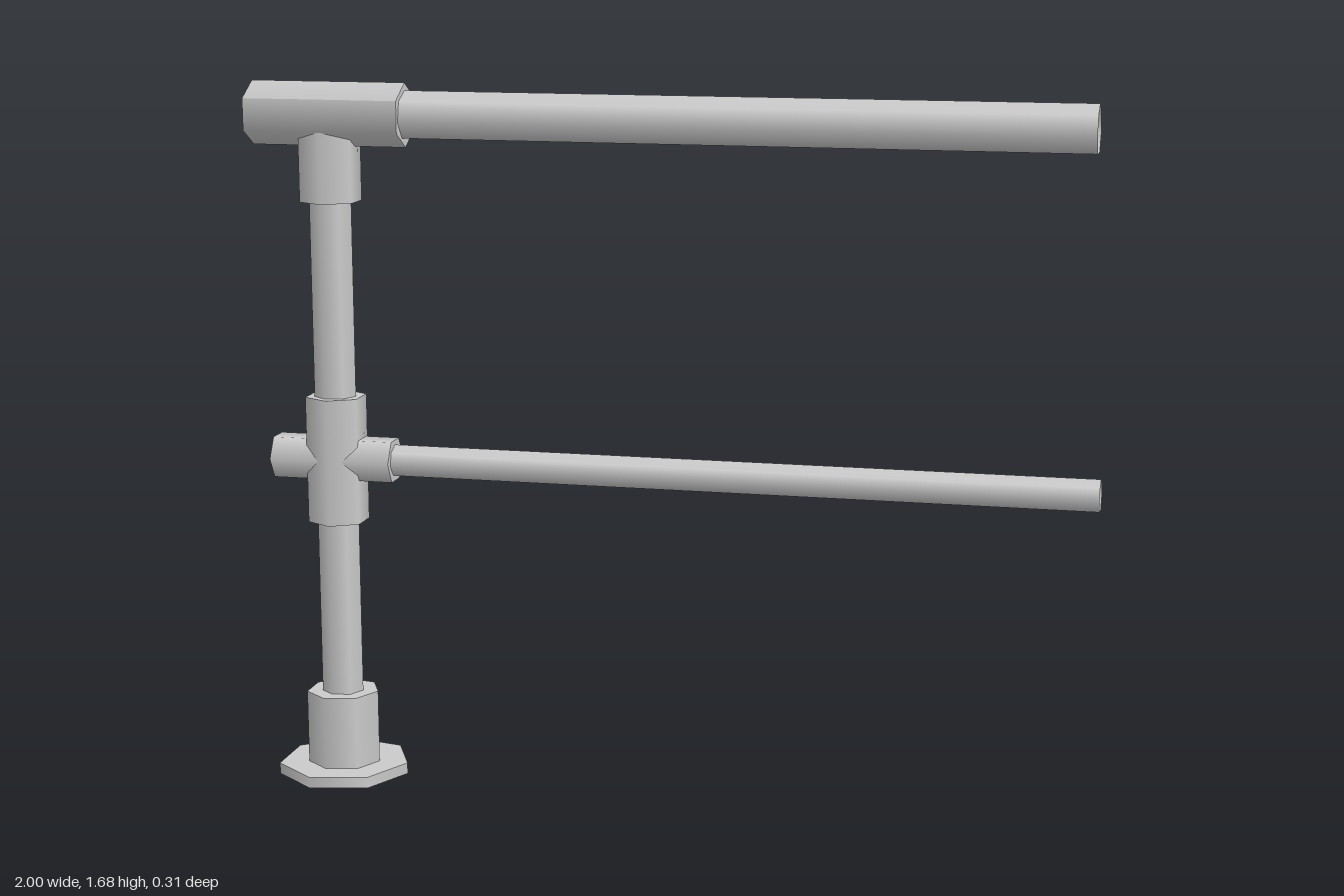
import * as THREE from 'three';

const POST_X = -0.8125;
const TEE_Y = 1.605;
const CROSS_Y = 0.784;

export function createModel() {
  const group = new THREE.Group();
  const material = new THREE.MeshStandardMaterial({ color: 0xcccccc, side: THREE.DoubleSide });

  function add(name, geometry) {
    const mesh = new THREE.Mesh(geometry, material);
    mesh.name = name;
    group.add(mesh);
    return mesh;
  }

  // Upright prism from y0 to y1; start turns its first corner from +z towards +x
  function upright(name, r, sides, start, y0, y1, open = false) {
    const g = new THREE.CylinderGeometry(r, r, y1 - y0, sides, 1, open, start);
    add(name, g.translate(POST_X, (y0 + y1) / 2, 0));
  }

  // Prism lying along x from x0 to x1 at height y
  function lying(name, r, sides, start, x0, x1, y, open = false) {
    const g = new THREE.CylinderGeometry(r, r, x1 - x0, sides, 1, open, start);
    add(name, g.rotateZ(-Math.PI / 2).translate((x0 + x1) / 2, y, 0));
  }

  const Q = Math.PI / 2;

  // Foot and post, seven-sided
  upright('baseFlange', 0.16, 7, Q, 0, 0.027);
  upright('baseCollar', 0.0885, 7, Q, 0.02, 0.205);
  upright('post', 0.0505, 7, Q, 0.1, 1.57, true);

  // Cross fitting, six-sided
  upright('crossSleeveUpright', 0.0735, 6, 0, 0.63, 0.935);
  lying('crossSleeveLying', 0.0565, 6, 0, -0.963, -0.667, CROSS_Y);

  // Tee fitting at the top
  upright('teeSleeveUpright', 0.0735, 6, 0, 1.4, 1.567);
  lying('teeSleeveLying', 0.075, 6, Q, -1, -0.625, TEE_Y);

  // Shallow swelling on each side of the tee, where the two sleeves blend
  for (const s of [1, -1]) {
    const low = TEE_Y - 0.0375, high = TEE_Y + 0.0375, z = 0.065 * s;
    const points = [
      [POST_X, low, 0.0735 * s],
      [-1, low, z], [-0.625, low, z],
      [-0.625, high, z], [-1, high, z],
      [-1, TEE_Y - 0.075, 0], [-0.625, TEE_Y - 0.075, 0],
    ];
    const faces = [[0, 2, 3], [0, 3, 4], [0, 4, 1], [0, 1, 5], [0, 5, 6], [0, 6, 2]];
    const index = faces.flatMap(([a, b, c]) => (s > 0 ? [a, b, c] : [a, c, b]));
    const g = new THREE.BufferGeometry();
    g.setAttribute('position', new THREE.Float32BufferAttribute(points.flat(), 3));
    g.setIndex(index);
    g.computeVertexNormals();
    add(s > 0 ? 'teeBlendFront' : 'teeBlendBack', g);
  }

  // Hollow rails, open at the far end
  lying('topRail', 0.057, 7, -Q, -0.7, 0.97, TEE_Y, true);
  lying('middleRail', 0.038, 7, -Q, -0.75, 1, CROSS_Y, true);

  return group;
}
